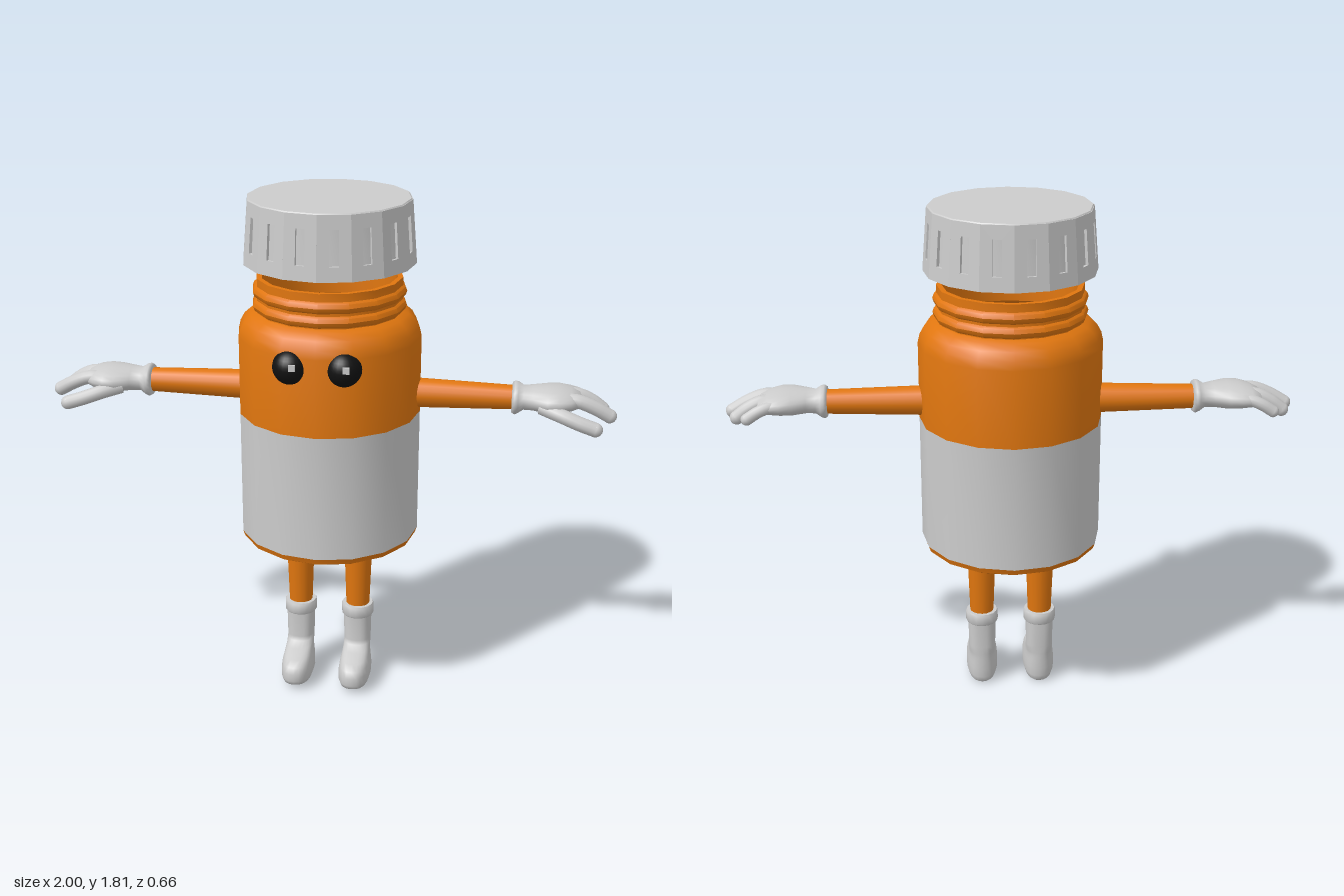
import * as THREE from 'three';
import { mergeGeometries, toCreasedNormals } from 'three/addons/utils/BufferGeometryUtils.js';

const SIDES = 16;
const grey = new THREE.MeshStandardMaterial({ color: 0xcccccc });
const orange = new THREE.MeshStandardMaterial({ color: 0xe0760f });
const black = new THREE.MeshStandardMaterial({ color: 0x111111 });

function add(parent, name, geometry, material) {
  const mesh = new THREE.Mesh(geometry, material);
  mesh.name = name;
  parent.add(mesh);
  return mesh;
}

// Turned part with crisp corners
function lathe(points) {
  const g = new THREE.LatheGeometry(points.map(p => new THREE.Vector2(p[0], p[1])), SIDES);
  return toCreasedNormals(g, 0.65);
}

// Skin over closed rings; place(row, sin, cos) returns a point
function loft(rows, place, sides = 20) {
  const pos = [], index = [];
  rows.forEach(row => {
    for (let j = 0; j < sides; j++) {
      const a = j / sides * Math.PI * 2;
      pos.push(...place(row, Math.sin(a), Math.cos(a)));
    }
  });
  for (let k = 0; k < rows.length - 1; k++) {
    for (let j = 0; j < sides; j++) {
      const a = k * sides + j, b = k * sides + (j + 1) % sides;
      index.push(a, b, a + sides, b, b + sides, a + sides);
    }
  }
  const g = new THREE.BufferGeometry();
  g.setAttribute('position', new THREE.Float32BufferAttribute(pos, 3));
  g.setIndex(index);
  g.computeVertexNormals();
  return g;
}

function bottle() {
  const g = new THREE.Group();
  g.name = 'bottle';
  add(g, 'bottleBase', lathe([[0, 0.58], [0.295, 0.58], [0.313, 0.59], [0.32, 0.61]]), orange);
  add(g, 'label', lathe([[0.32, 0.61], [0.32, 1.06]]), grey);
  // Shoulder, two thread ridges, lip and hollow inside
  const profile = [[0.32, 1.06], [0.32, 1.335], [0.313, 1.365], [0.298, 1.392], [0.275, 1.412], [0.253, 1.42]];
  for (const y of [1.443, 1.492]) {
    profile.push([0.253, y - 0.02], [0.262, y - 0.014], [0.267, y], [0.262, y + 0.014], [0.253, y + 0.02]);
  }
  profile.push([0.253, 1.54], [0.235, 1.54], [0.235, 1.41], [0.3, 1.34], [0.3, 0.61], [0, 0.61]);
  add(g, 'bottleTop', lathe(profile), orange);
  return g;
}

function cap() {
  const g = new THREE.Group();
  g.name = 'cap';
  add(g, 'capShell', lathe([[0, 1.785], [0.25, 1.785], [0.25, 1.59], [0.295, 1.59],
    [0.286, 1.6], [0.272, 1.8], [0.28, 1.805], [0.276, 1.81], [0, 1.81]]), grey);
  // One outer panel per side, each with a grip slot
  const rBottom = 0.298, rTop = 0.281, height = 0.217, half = Math.PI / SIDES;
  const wb = rBottom * Math.sin(half), wt = rTop * Math.sin(half);
  const shape = new THREE.Shape([[-wb, 0], [wb, 0], [wt, height], [-wt, height]].map(p => new THREE.Vector2(...p)));
  shape.holes.push(new THREE.Path([[-0.016, 0.05], [-0.016, 0.17], [0.016, 0.17], [0.016, 0.05]].map(p => new THREE.Vector2(...p))));
  const panel = new THREE.ExtrudeGeometry(shape, { depth: 0.012, bevelEnabled: false });
  panel.translate(0, 0, -0.012);
  panel.rotateX(-Math.atan((rBottom - rTop) * Math.cos(half) / height));
  panel.translate(0, 1.59, rBottom * Math.cos(half));
  const panels = [];
  for (let i = 0; i < SIDES; i++) panels.push(panel.clone().rotateY((2 * i + 1) * half));
  add(g, 'capGrip', mergeGeometries(panels), grey);
  return g;
}

// Bent finger with rounded tip
function finger(points, r) {
  const curve = new THREE.CatmullRomCurve3(points.map(p => new THREE.Vector3(...p)));
  const tip = new THREE.SphereGeometry(r, 12, 8);
  tip.translate(...points[points.length - 1]);
  return mergeGeometries([new THREE.TubeGeometry(curve, 10, r, 12), tip]);
}

function arm() {
  const g = new THREE.Group();
  g.name = 'arm';
  const sleeve = new THREE.CylinderGeometry(0.042, 0.053, 0.4, 16);
  sleeve.rotateZ(-Math.PI / 2);
  sleeve.translate(0.46, 1.125, -0.018);
  add(g, 'armTube', sleeve, orange);
  // Glove rows: x, centre y, half height, centre z, half depth
  const rows = [
    [0.638, 1.125, 0.001, -0.016, 0.001], [0.638, 1.125, 0.052, -0.016, 0.062],
    [0.648, 1.125, 0.058, -0.016, 0.07], [0.66, 1.126, 0.054, -0.016, 0.066],
    [0.678, 1.127, 0.042, -0.016, 0.054], [0.71, 1.13, 0.042, -0.013, 0.068],
    [0.76, 1.13, 0.046, -0.01, 0.094], [0.8, 1.131, 0.044, -0.014, 0.1],
    [0.84, 1.13, 0.037, -0.022, 0.09], [0.87, 1.127, 0.026, -0.03, 0.07],
    [0.885, 1.125, 0.001, -0.03, 0.001]];
  add(g, 'glovePalm', loft(rows, ([x, y, h, z, d], s, c) => [x, y + h * c, z + d * s]), grey);
  const fingers = [
    [[0.74, 1.115, 0.045], [0.81, 1.1, 0.08], [0.87, 1.08, 0.093], [0.925, 1.062, 0.095]],
    [[0.8, 1.135, 0.02], [0.86, 1.137, 0.025], [0.92, 1.115, 0.022], [0.973, 1.085, 0.015]],
    [[0.8, 1.135, -0.035], [0.86, 1.137, -0.045], [0.91, 1.115, -0.052], [0.95, 1.085, -0.055]],
    [[0.78, 1.13, -0.075], [0.83, 1.133, -0.09], [0.87, 1.12, -0.1], [0.91, 1.095, -0.103]]];
  fingers.forEach((p, i) => add(g, i ? 'finger' + i : 'thumb', finger(p, i === 3 ? 0.021 : 0.025), grey));
  return g;
}

function leg() {
  const g = new THREE.Group();
  g.name = 'leg';
  const tube = new THREE.CylinderGeometry(0.054, 0.042, 0.34, 16);
  tube.translate(0.107, 0.425, -0.01);
  add(g, 'legTube', tube, orange);
  const cuff = lathe([[0, 0.245], [0.056, 0.245], [0.059, 0.25], [0.059, 0.285], [0.056, 0.29], [0, 0.29]]);
  cuff.translate(0.107, 0, -0.01);
  add(g, 'bootCuff', cuff, grey);
  // Boot rows: y, half width, back z, front z, toe lift
  const rows = [
    [0.004, 0.001, 0.05, 0.052, 0], [0.004, 0.042, -0.048, 0.16, 0.008],
    [0.012, 0.052, -0.058, 0.174, 0.008], [0.03, 0.058, -0.063, 0.181, 0.006],
    [0.06, 0.058, -0.063, 0.18, 0.004], [0.085, 0.055, -0.063, 0.17, 0.002],
    [0.103, 0.051, -0.062, 0.14, 0], [0.12, 0.049, -0.062, 0.085, 0],
    [0.135, 0.049, -0.062, 0.05, 0], [0.15, 0.049, -0.062, 0.042, 0], [0.25, 0.051, -0.062, 0.042, 0]];
  const soft = v => Math.sign(v) * Math.pow(Math.abs(v), 0.8);
  add(g, 'boot', loft(rows, ([y, w, back, front, lift], s, c) => [
    0.107 + w * soft(s), y + lift * c, (front + back) / 2 + (front - back) / 2 * soft(c)], 24), grey);
  return g;
}

export function createModel() {
  const model = new THREE.Group();
  model.name = 'bottleFigure';
  const body = new THREE.Group();
  body.name = 'body';
  body.position.z = -0.01;
  body.add(bottle(), cap());
  model.add(body);

  for (const side of [1, -1]) {
    const label = side > 0 ? 'left' : 'right';
    for (const [name, build] of [['Arm', arm], ['Leg', leg]]) {
      const limb = build();
      limb.name = label + name;
      limb.scale.x = side;
      model.add(limb);
    }
    // Eye with a small square glint, both glints on the same side
    const eye = add(model, label + 'Eye', new THREE.SphereGeometry(0.06, 24, 16), black);
    eye.position.set(side * 0.09, 1.297, 0.27);
    const glint = add(model, label + 'EyeGlint', new THREE.BoxGeometry(0.022, 0.022, 0.01), grey);
    glint.position.set(side * 0.09 + 0.014, 1.31, 0.325);
  }
  return model;
}
